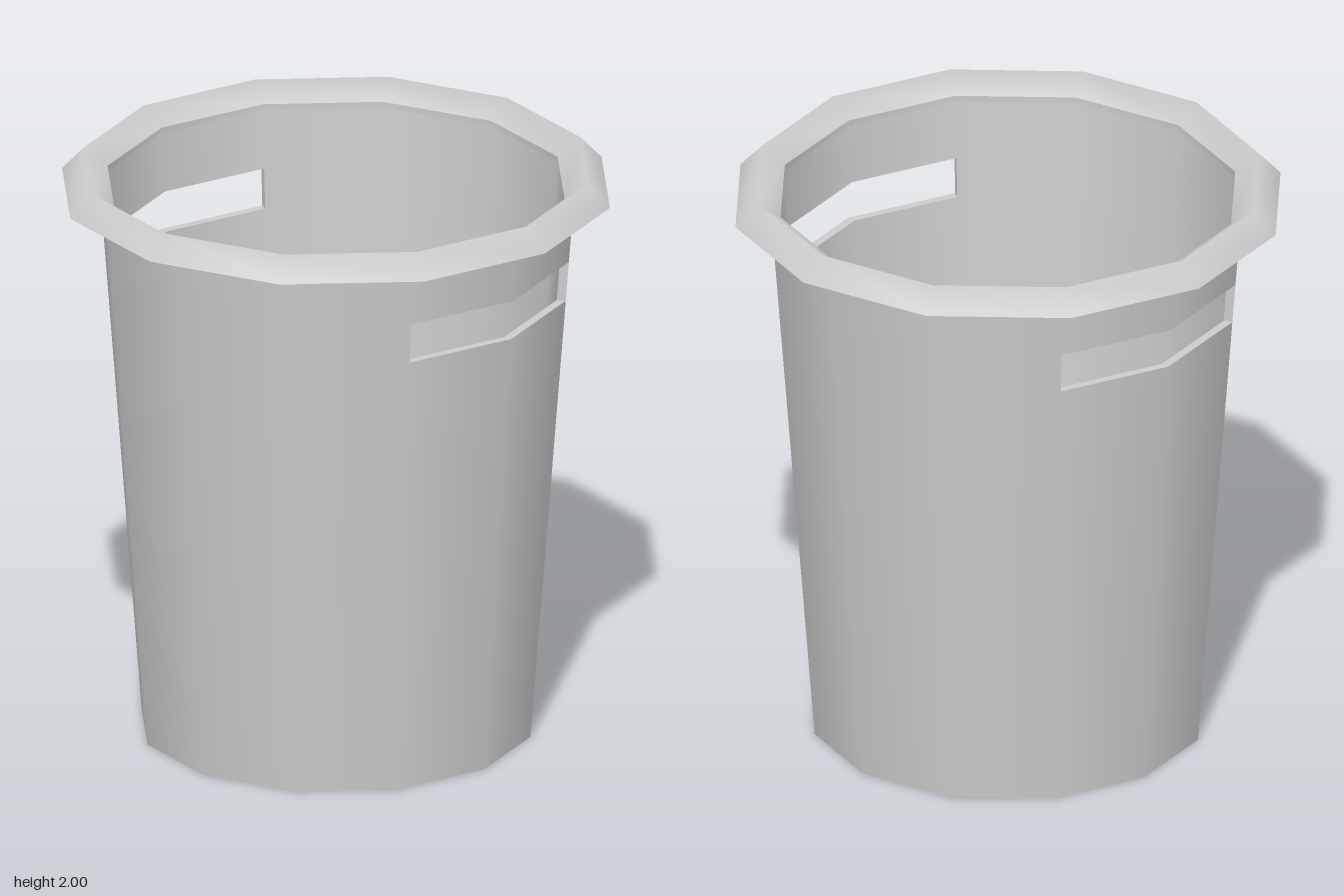
import * as THREE from 'three';

const SIDES = 12;
const STEP = (Math.PI * 2) / SIDES;
const RIM_Y = 1.92, SLOT_LOW = 1.575, SLOT_HIGH = 1.715, FLOOR_Y = 0.02;

// Tapered wall radii at a given height
const outerR = (y) => 0.667 + 0.077 * y;
const innerR = (y) => outerR(y) - 0.031;

export function createModel() {
  const model = new THREE.Group();
  const material = new THREE.MeshStandardMaterial({ color: 0xcccccc });
  const thinMaterial = new THREE.MeshStandardMaterial({ color: 0xcccccc, side: THREE.DoubleSide });

  const add = (parent, name, geometry, mat = material) => {
    const mesh = new THREE.Mesh(geometry, mat);
    mesh.name = name;
    parent.add(mesh);
  };
  const group = (name) => {
    const g = new THREE.Group();
    g.name = name;
    model.add(g);
    return g;
  };

  // Revolve a profile over some of the twelve sides
  const revolve = (points, first = 0, count = SIDES) =>
    new THREE.LatheGeometry(points.map(([r, y]) => new THREE.Vector2(r, y)), count, first * STEP, count * STEP);

  // Bucket wall: full bands below and above the slots, two partial bands between
  const wall = group('wall');
  const band = (name, y0, y1, first, count) => {
    add(wall, name + 'Outside', revolve([[outerR(y0), y0], [outerR(y1), y1]], first, count));
    const low = Math.max(y0, FLOOR_Y);
    add(wall, name + 'Inside', revolve([[innerR(y1), y1], [innerR(low), low]], first, count));
  };
  band('lowerBand', 0, SLOT_LOW);
  band('frontBand', SLOT_LOW, SLOT_HIGH, -2, 4);
  band('backBand', SLOT_LOW, SLOT_HIGH, 4, 4);
  band('upperBand', SLOT_HIGH, RIM_Y);

  // Handle slots: the cut faces through the wall on both sides
  for (const [name, first] of [['leftHandleSlot', 2], ['rightHandleSlot', 8]]) {
    const slot = group(name);
    add(slot, 'sill', revolve([[outerR(SLOT_LOW), SLOT_LOW], [innerR(SLOT_LOW), SLOT_LOW]], first, 2));
    add(slot, 'lintel', revolve([[innerR(SLOT_HIGH), SLOT_HIGH], [outerR(SLOT_HIGH), SLOT_HIGH]], first, 2));
    for (const side of [first, first + 2]) {
      const end = new THREE.ShapeGeometry(new THREE.Shape([
        new THREE.Vector2(innerR(SLOT_LOW), SLOT_LOW),
        new THREE.Vector2(outerR(SLOT_LOW), SLOT_LOW),
        new THREE.Vector2(outerR(SLOT_HIGH), SLOT_HIGH),
        new THREE.Vector2(innerR(SLOT_HIGH), SLOT_HIGH),
      ]));
      end.rotateY(side * STEP - Math.PI / 2);
      add(slot, 'slotEnd', end, thinMaterial);
    }
  }

  // Flared rim with a ridge on top and a flat underside
  const rim = group('rim');
  const lipY = 1.94, lipR = innerR(RIM_Y);
  add(rim, 'rimTop', revolve([[0.94, RIM_Y], [0.865, 2], [lipR, lipY]]));
  add(rim, 'rimInside', revolve([[lipR, lipY], [lipR, RIM_Y]]));
  add(rim, 'rimUnderside', revolve([[outerR(RIM_Y), RIM_Y], [0.94, RIM_Y]]));

  // Floor, seen from inside and from below
  const floor = group('floor');
  add(floor, 'floorTop', new THREE.CircleGeometry(innerR(FLOOR_Y), SIDES).rotateX(-Math.PI / 2).translate(0, FLOOR_Y, 0));
  add(floor, 'base', new THREE.CircleGeometry(outerR(0), SIDES).rotateX(Math.PI / 2));

  return model;
}
